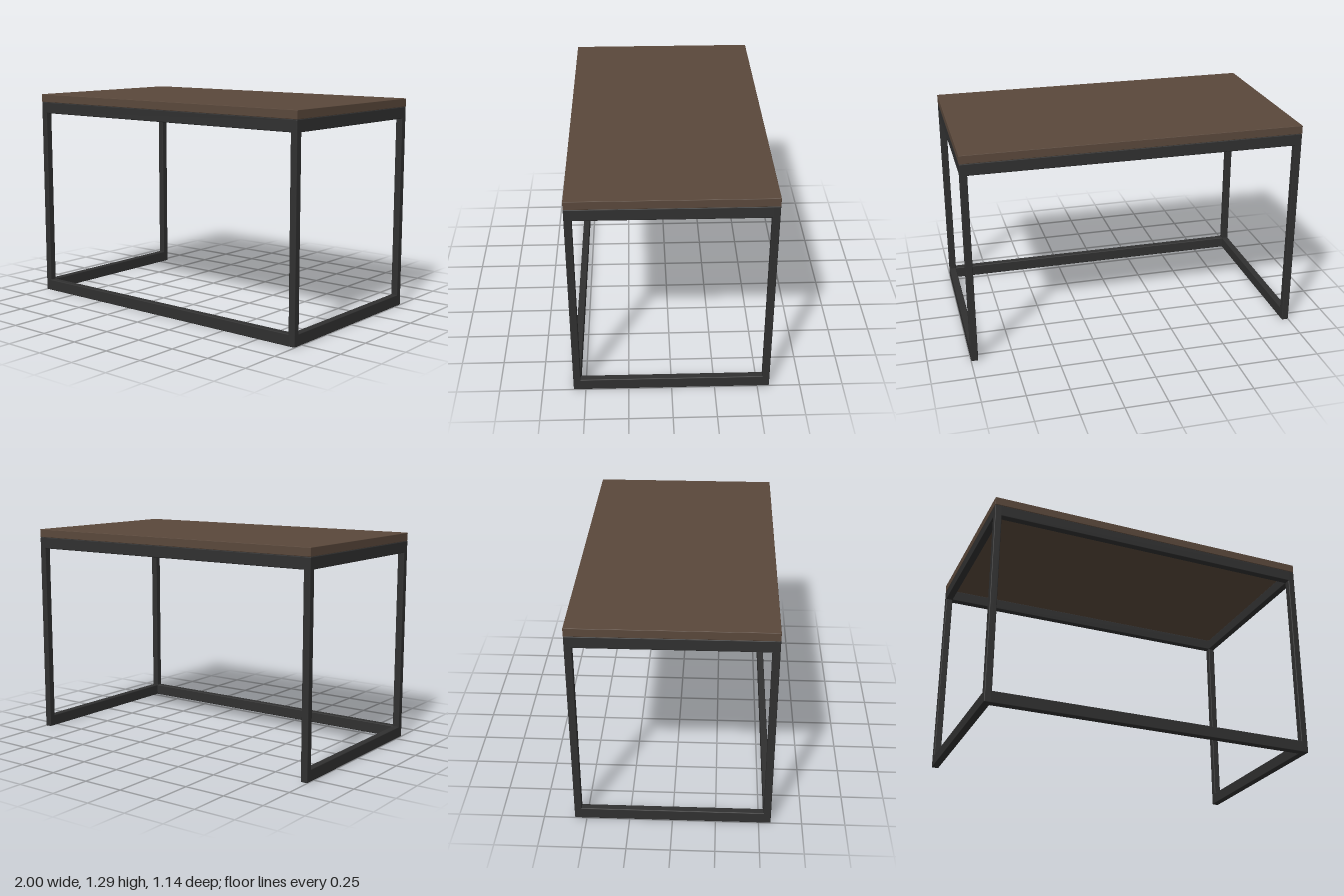
import * as THREE from 'three';
import { RoundedBoxGeometry } from 'three/addons/geometries/RoundedBoxGeometry.js';

const W = 2, D = 1.14;            // overall width and depth
const FRAME_H = 1.236, TOP_H = 0.05;
const BAR = 0.042, RAIL_H = 0.07; // steel section

export function createModel() {
  const group = new THREE.Group();
  const steel = new THREE.MeshStandardMaterial({ color: 0x303030 });
  const wood = new THREE.MeshStandardMaterial({ color: 0x5a483b });

  const bar = (name, w, h, d, x, y, z, material = steel, radius = 0.005) => {
    const mesh = new THREE.Mesh(new RoundedBoxGeometry(w, h, d, 2, radius), material);
    mesh.name = name;
    mesh.position.set(x, y, z);
    group.add(mesh);
  };

  const legX = W / 2 - BAR / 2, legZ = D / 2 - BAR / 2;
  const lowY = RAIL_H / 2, highY = FRAME_H - RAIL_H / 2;
  // rails run slightly into the legs so the joints stay closed
  const railW = W - 2 * BAR + 0.02, railD = D - 2 * BAR + 0.02;

  // legs and side rails, mirrored left and right
  for (const [side, s] of [['left', 1], ['right', -1]]) {
    bar(`${side}FrontLeg`, BAR, FRAME_H, BAR, s * legX, FRAME_H / 2, legZ);
    bar(`${side}BackLeg`, BAR, FRAME_H, BAR, s * legX, FRAME_H / 2, -legZ);
    bar(`${side}UpperRail`, BAR, RAIL_H, railD, s * legX, highY, 0);
    bar(`${side}LowerRail`, BAR, RAIL_H, railD, s * legX, lowY, 0);
  }

  // long rails: upper front and back, lower at the front only
  bar('frontUpperRail', railW, RAIL_H, BAR, 0, highY, legZ);
  bar('backUpperRail', railW, RAIL_H, BAR, 0, highY, -legZ);
  bar('frontLowerRail', railW, RAIL_H, BAR, 0, lowY, legZ);

  // wooden top
  bar('tableTop', W, TOP_H, D, 0, FRAME_H + TOP_H / 2, 0, wood, 0.003);

  return group;
}
